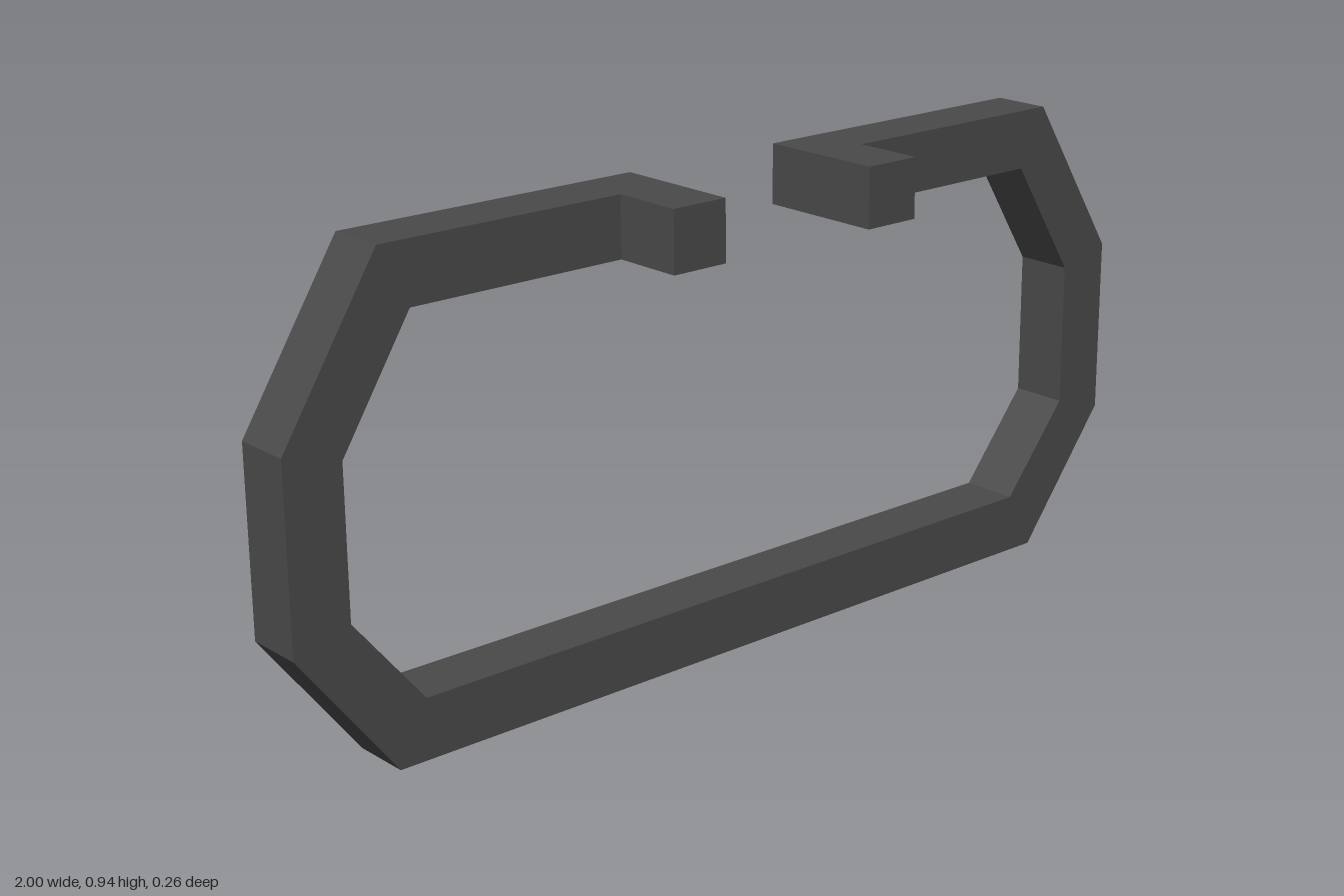
import * as THREE from 'three';

const darkGrey = new THREE.MeshStandardMaterial({ color: 0x4a4a4a });
darkGrey.name = 'darkGrey';

const BACK = -0.128, FRONT = 0.131, SEAM = -0.011; // depth of the bar and of the prongs
const TOP = 0.935, UNDER = 0.818;                  // upper arm height
const TIP = 0.174, PRONG = 0.292;                  // prong extent along x

// right-hand half of the open ring, walked from the bottom centre to the arm tip
const outer = [[0.8, 0], [1, 0.262], [1, 0.617], [0.8, TOP], [TIP, TOP]];
const inner = [[0.74, 0.118], [0.885, 0.297], [0.885, 0.586], [0.74, UNDER], [TIP, UNDER]];

const mirrored = (points) => points.map(([x, y]) => [-x, y]);
const reversed = (points) => [...points].reverse();

export function createModel() {
  const group = new THREE.Group();
  group.name = 'openHandle';

  // open octagonal ring as one continuous flat bar
  const outline = [
    ...outer, ...reversed(inner),
    ...mirrored(inner), ...reversed(mirrored(outer)),
  ].map(([x, y]) => new THREE.Vector2(x, y));
  const ringGeometry = new THREE.ExtrudeGeometry(new THREE.Shape(outline), {
    depth: SEAM - BACK, bevelEnabled: false,
  });
  ringGeometry.translate(0, 0, BACK);
  const ring = new THREE.Mesh(ringGeometry, darkGrey);
  ring.name = 'ring';
  group.add(ring);

  // prongs reaching forward from the two arm tips
  for (const side of [1, -1]) {
    const prong = new THREE.Mesh(
      new THREE.BoxGeometry(PRONG - TIP, TOP - UNDER, FRONT - SEAM), darkGrey);
    prong.position.set(side * (PRONG + TIP) / 2, (TOP + UNDER) / 2, (FRONT + SEAM) / 2);
    prong.name = side > 0 ? 'leftProng' : 'rightProng';
    group.add(prong);
  }
  return group;
}
